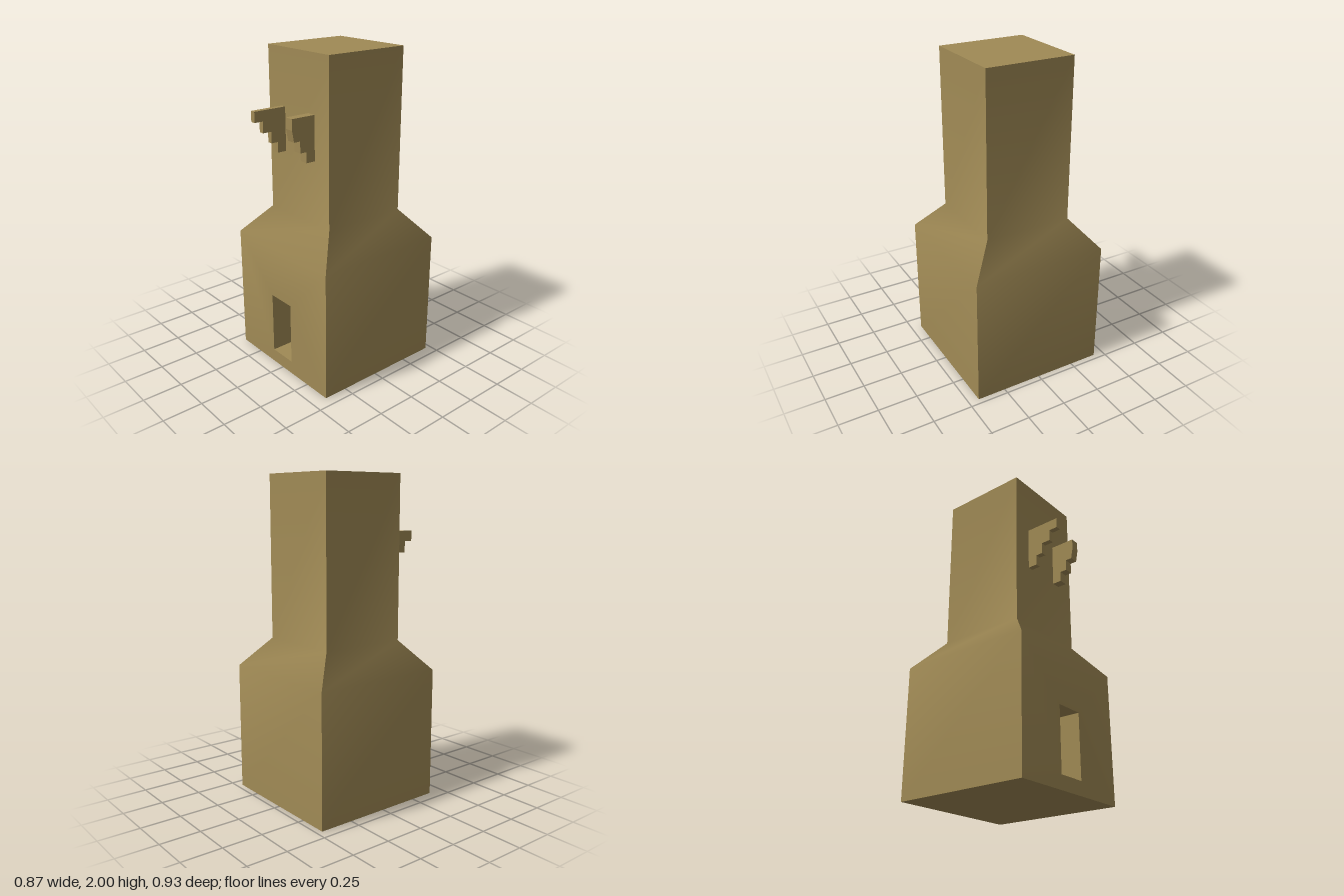
import * as THREE from 'three';

const material = new THREE.MeshStandardMaterial({ color: 0xa08a55 });

// Quads sharing points, so normals are smooth within one panel and hard between panels
function panel(name, points, quads) {
  const g = new THREE.BufferGeometry();
  g.setAttribute('position', new THREE.Float32BufferAttribute(points.flat(), 3));
  g.setIndex(quads.flatMap(([a, b, c, d]) => [a, b, c, a, c, d]));
  g.computeVertexNormals();
  const mesh = new THREE.Mesh(g, material);
  mesh.name = name;
  return mesh;
}

// Square ring of corners: front right, front left, back left, back right
const CZ = -0.031;
const ring = (r, y) => [[-r, y, CZ + r], [r, y, CZ + r], [r, y, CZ - r], [-r, y, CZ - r]];

// Stepped bracket: side profile of [z, y] points extruded across x
function bracket(name, x0, x1, profile) {
  const shape = new THREE.Shape(profile.map(([z, y]) => new THREE.Vector2(z, y)));
  const g = new THREE.ExtrudeGeometry(shape, { depth: x1 - x0, bevelEnabled: false });
  g.rotateY(-Math.PI / 2).translate(x1, 0, 0);
  const mesh = new THREE.Mesh(g, material);
  mesh.name = name;
  return mesh;
}

export function createModel() {
  const model = new THREE.Group();
  model.name = 'tower';

  // Walls: wide base, sloped shoulder, narrow shaft
  const levels = [ring(0.433, 0), ring(0.433, 0.81), ring(0.278, 0.993), ring(0.278, 2)];
  const door = [[-0.094, 0.085], [0.092, 0.085], [0.092, 0.48], [-0.094, 0.48]];
  const frontZ = CZ + 0.433;
  const mouth = door.map(([x, y]) => [x, y, frontZ]);

  ['frontWall', 'leftWall', 'backWall', 'rightWall'].forEach((name, i) => {
    const points = levels.flatMap((l) => [l[i], l[(i + 1) % 4]]);
    const quads = [[0, 1, 3, 2], [2, 3, 5, 4], [4, 5, 7, 6]];
    if (i === 0) {
      // Frame the doorway instead of a solid lower face
      points.push(...mouth);
      quads.splice(0, 1, [0, 1, 9, 8], [1, 3, 10, 9], [3, 2, 11, 10], [2, 0, 8, 11]);
    }
    model.add(panel(name, points, quads));
  });
  model.add(panel('roof', levels[3], [[0, 1, 2, 3]]));
  model.add(panel('underside', levels[0], [[3, 2, 1, 0]]));

  // Door recess: four inner walls and a back
  const recess = new THREE.Group();
  recess.name = 'doorRecess';
  const inner = door.map(([x, y]) => [x, y, frontZ - 0.45]);
  ['recessFloor', 'recessLeft', 'recessCeiling', 'recessRight'].forEach((name, i) => {
    const j = (i + 1) % 4;
    recess.add(panel(name, [mouth[i], mouth[j], inner[j], inner[i]], [[0, 1, 2, 3]]));
  });
  recess.add(panel('recessBack', inner, [[0, 1, 2, 3]]));
  model.add(recess);

  // Brackets on the front of the shaft, sharing their lower steps
  const wall = CZ + 0.277;
  const steps = [[wall, 1.655], [wall, 1.385], [0.306, 1.385], [0.306, 1.45], [0.35, 1.45], [0.35, 1.52]];
  model.add(bracket('rightBracket', -0.159, -0.125,
    [...steps, [0.408, 1.52], [0.408, 1.59], [0.464, 1.59], [0.464, 1.655]]));
  model.add(bracket('leftBracket', 0.095, 0.15,
    [...steps, [0.392, 1.52], [0.405, 1.59], [0.405, 1.655]]));

  return model;
}
